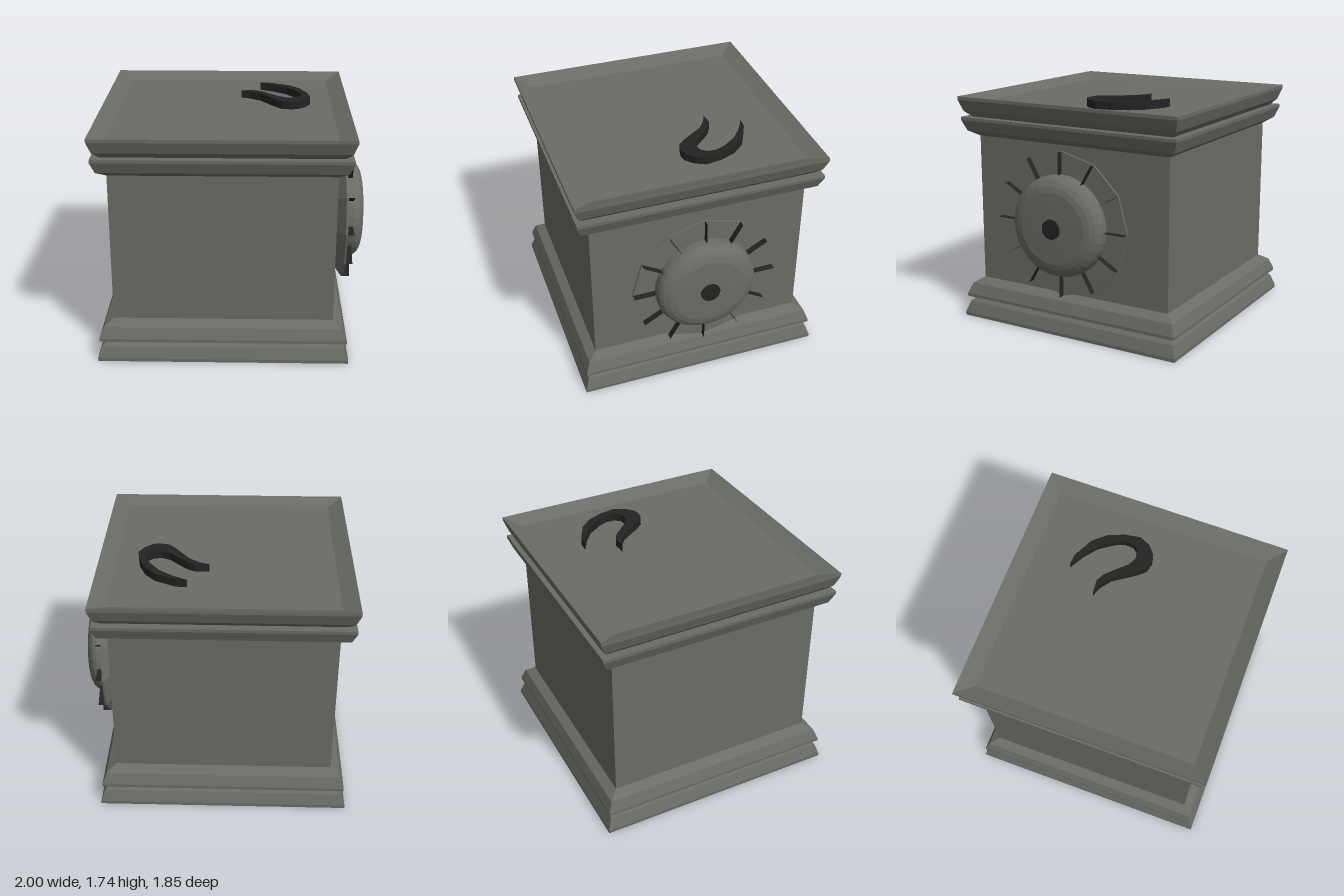
import * as THREE from 'three';

const stone = new THREE.MeshStandardMaterial({ color: 0x6a6c65 });
stone.name = 'grey stone';
const dark = new THREE.MeshStandardMaterial({ color: 0x232323, side: THREE.DoubleSide });
dark.name = 'dark metal';

const CENTER_X = -0.075, HEIGHT = 1.73, HUB_Y = 0.865;

function addMesh(parent, name, geometry, material) {
  const mesh = new THREE.Mesh(geometry, material);
  mesh.name = name;
  parent.add(mesh);
  return mesh;
}

// Faceted solid of revolution from [radius, height] pairs
function facetedLathe(profile, sides, phase = 0) {
  const points = profile.map(([r, h]) => new THREE.Vector2(r, h));
  const geometry = new THREE.LatheGeometry(points, sides, phase).toNonIndexed();
  geometry.computeVertexNormals();
  return geometry;
}

// Square crate: the lower moulding profile is mirrored for the upper one
function crateGeometry() {
  const lower = [
    [0, 0.05], [0.807, 0.05], [0.925, 0], [0.925, 0.025], [0.895, 0.11], [0.85, 0.155],
    [0.91, 0.155], [0.91, 0.178], [0.878, 0.26], [0.81, 0.303],
  ];
  const upper = lower.map(([r, h]) => [r, HEIGHT - h]).reverse();
  const profile = [...lower, ...upper].map(([r, h]) => [r * Math.SQRT2, h]);
  return facetedLathe(profile, 4, Math.PI / 4);
}

// Curved hook plate lying in the recessed top, outline given as x, z
function hookGeometry() {
  const outline = [
    [0.19, -0.52], [0.27, -0.515], [0.42, -0.44], [0.5, -0.35], [0.55, -0.23], [0.57, -0.11],
    [0.53, -0.03], [0.47, 0.02], [0.42, 0.03], [0.35, 0.015], [0.3, -0.04], [0.245, -0.12],
    [0.19, -0.2], [0.11, -0.26], [0.04, -0.285], [0.14, -0.293], [0.2, -0.26], [0.27, -0.19],
    [0.335, -0.12], [0.395, -0.09], [0.46, -0.1], [0.495, -0.14], [0.5, -0.21], [0.47, -0.28],
    [0.395, -0.385], [0.3, -0.46],
  ];
  const shape = new THREE.Shape(outline.map(([x, z]) => new THREE.Vector2(x, -z)));
  const geometry = new THREE.ExtrudeGeometry(shape, { depth: 0.06, bevelEnabled: false });
  geometry.rotateX(-Math.PI / 2);
  geometry.translate(0, 1.679, 0);
  return geometry;
}

// Round fitting on the side wall, built along +y and then turned to face +x
function createHub() {
  const hub = new THREE.Group();
  hub.name = 'sideHub';
  hub.rotation.z = -Math.PI / 2;
  hub.position.y = HUB_Y;

  addMesh(hub, 'flaredDish', facetedLathe(
    [[0.4, 0.73], [0.54, 0.83], [0.54, 0.845], [0, 0.845]], 12), stone);
  addMesh(hub, 'dome', facetedLathe(
    [[0.375, 0.84], [0.375, 0.9], [0.365, 0.928], [0.345, 0.95], [0.31, 0.97],
      [0.265, 0.982], [0.15, 0.986], [0, 0.988]], 32), stone);

  const knob = addMesh(hub, 'centreKnob', new THREE.CylinderGeometry(0.073, 0.073, 0.03, 20), dark);
  knob.position.y = 0.985;

  // Thin radial fins, one at each corner of the dish
  const finGeometry = new THREE.PlaneGeometry(0.17, 0.05);
  finGeometry.translate(0.455, 0.87, 0);
  for (let i = 0; i < 12; i++) {
    addMesh(hub, 'fin', finGeometry, dark).rotation.y = i * Math.PI / 6;
  }
  return hub;
}

export function createModel() {
  const model = new THREE.Group();
  model.name = 'pedestalCrate';
  addMesh(model, 'crate', crateGeometry(), stone).position.x = CENTER_X;
  addMesh(model, 'topHook', hookGeometry(), dark);
  model.add(createHub());
  return model;
}
